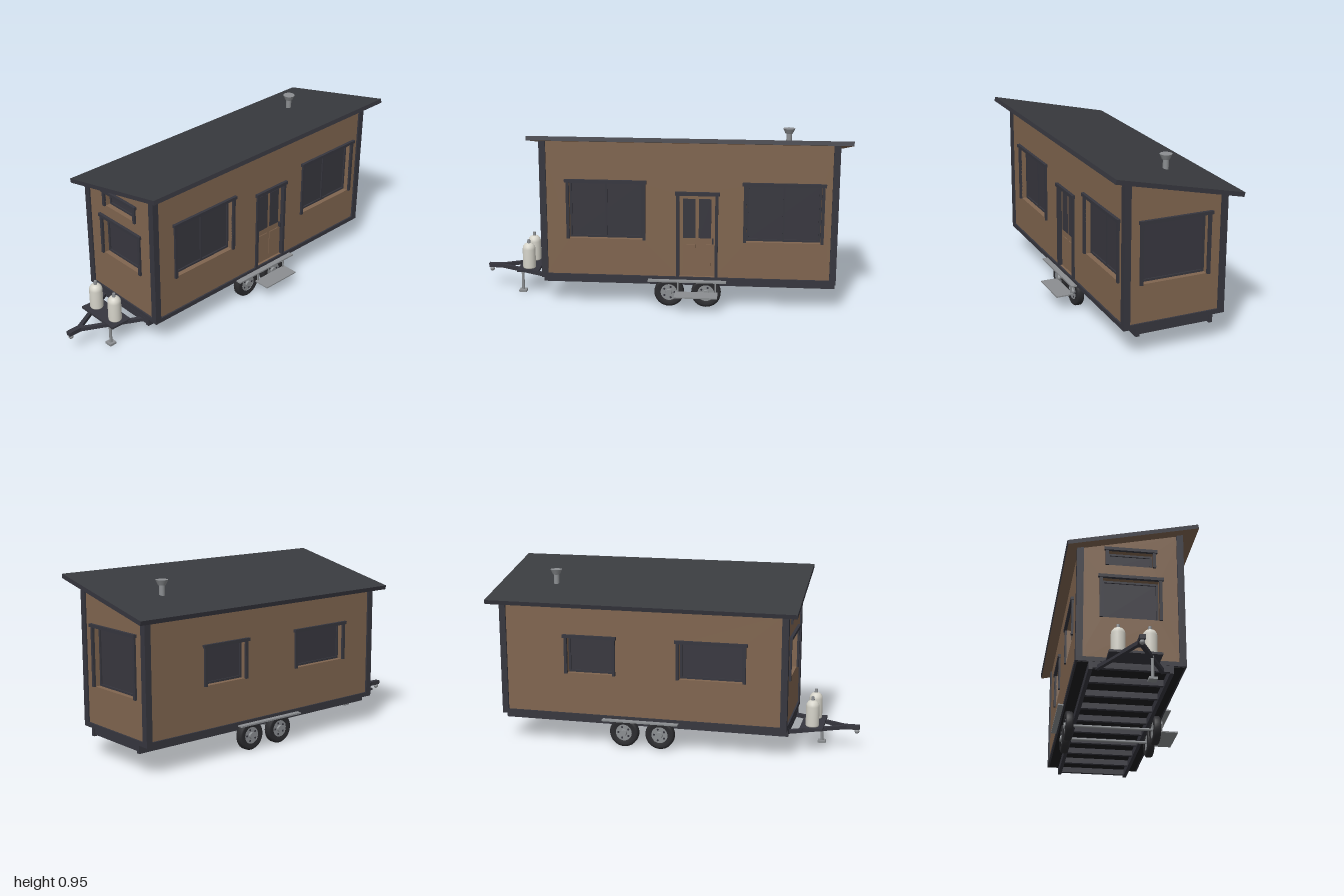
import * as THREE from 'three';

const mat = (name, color, opts = {}) => {
  const m = new THREE.MeshStandardMaterial({ color, ...opts });
  m.name = name;
  return m;
};

export function createModel() {
  const cladding = mat('brown cladding', 0x80654f);
  const trim = mat('dark trim', 0x36363e);
  const roofMat = mat('roof metal', 0x393b3f);
  const glass = mat('dark glass', 0x38373f);
  const rubber = mat('rubber', 0x2b2b2e);
  const steel = mat('galvanised steel', 0x8b8e91);
  const white = mat('tank white', 0xd6d4ca);
  const under = mat('underside black', 0x1d1d20);

  const root = new THREE.Group();
  const add = (parent, name, geo, material, x = 0, y = 0, z = 0) => {
    const m = new THREE.Mesh(geo, material);
    m.name = name;
    m.position.set(x, y, z);
    parent.add(m);
    return m;
  };
  // box given by its limits on each axis
  const box = (parent, name, material, x0, x1, y0, y1, z0, z1) =>
    add(parent, name, new THREE.BoxGeometry(x1 - x0, y1 - y0, z1 - z0), material,
      (x0 + x1) / 2, (y0 + y1) / 2, (z0 + z1) / 2);
  const cyl = (parent, name, material, r0, r1, h, n, x, y, z) =>
    add(parent, name, new THREE.CylinderGeometry(r0, r1, h, n), material, x, y, z);
  // straight square bar between two points
  const bar = (name, material, a, b, w, h) => {
    const p = new THREE.Vector3(...a), q = new THREE.Vector3(...b);
    const m = add(root, name, new THREE.BoxGeometry(w, h, p.distanceTo(q)), material);
    m.position.copy(p).add(q).multiplyScalar(0.5);
    m.lookAt(q);
    return m;
  };

  const X0 = -0.64, X1 = 0.94, ZF = 0.255, ZB = -0.297, BASE = 0.155;
  const T = 0.04; // wall thickness
  const roofUnder = z => 0.924 - (0.33 - z) * 0.2235;

  // Windows: recessed sash and glass, side casings and a wider header
  const IN = 0.016;
  function windowUnit(wall, [u0, u1, y0, y1, panes]) {
    const g = new THREE.Group();
    g.name = 'window';
    wall.add(g);
    box(g, 'casing', trim, u0, u0 + IN, y0, y1 - 0.015, -0.002, 0.011);
    box(g, 'casing', trim, u1 - IN, u1, y0, y1 - 0.015, -0.002, 0.011);
    box(g, 'header', trim, u0 - 0.007, u1 + 0.007, y1 - 0.017, y1, -0.002, 0.016);
    const a = u0 + IN, b = u1 - IN, c = y0 + 0.002, d = y1 - 0.017, s = 0.011;
    box(g, 'glass', glass, a, b, c, d, -T, -T + 0.006);
    box(g, 'sashBottom', trim, a, b, c, c + s, -T, -T + 0.013);
    box(g, 'sashTop', trim, a, b, d - s, d, -T, -T + 0.013);
    box(g, 'sashSide', trim, a, a + s, c, d, -T, -T + 0.013);
    box(g, 'sashSide', trim, b - s, b, c, d, -T, -T + 0.013);
    for (let i = 1; i < panes; i++) {
      const u = a + (b - a) * i / panes;
      box(g, 'mullion', trim, u - 0.005, u + 0.005, c, d, -T, -T + 0.013);
    }
  }

  // Wall in its own plane: outline from ends and top heights, with openings
  function makeWall(name, u0, u1, top0, top1, openings, position, turn, extraHole) {
    const wall = new THREE.Group();
    wall.name = name;
    wall.position.set(...position);
    wall.rotation.y = turn;
    root.add(wall);
    const shape = new THREE.Shape([[u0, BASE], [u1, BASE], [u1, top1], [u0, top0]]
      .map(p => new THREE.Vector2(...p)));
    const hole = (a, b, c, d) => shape.holes.push(new THREE.Path(
      [[a, c], [a, d], [b, d], [b, c]].map(p => new THREE.Vector2(...p))));
    for (const w of openings) {
      hole(w[0] + IN, w[1] - IN, w[2] + 0.002, w[3] - 0.017);
      windowUnit(wall, w);
    }
    if (extraHole) hole(...extraHole);
    const geo = new THREE.ExtrudeGeometry(shape, { depth: T, bevelEnabled: false });
    geo.translate(0, 0, -T);
    add(wall, name + 'Cladding', geo, cladding);
    return wall;
  }

  const inset = 0.009;
  const zf = ZF - inset, zb = ZB + inset, xl = X0 + inset, xr = X1 - inset;
  const yf = roofUnder(zf), yb = roofUnder(zb);
  const front = makeWall('frontWall', xl, xr, yf, yf,
    [[-0.5, -0.075, 0.375, 0.702, 2], [0.445, 0.868, 0.375, 0.702, 2]],
    [0, 0, zf], 0, [0.105, 0.297, 0.178, 0.628]);
  makeWall('backWall', -xr, -xl, yb, yb,
    [[-0.575, -0.29, 0.4, 0.615, 1], [0.045, 0.42, 0.4, 0.615, 1]], [0, 0, zb], Math.PI);
  makeWall('rightWall', -zf, -zb, yf, yb, [[-0.17, 0.21, 0.375, 0.703, 1]],
    [xr, 0, 0], Math.PI / 2);
  makeWall('leftWall', zb, zf, yb, yf,
    [[-0.18, 0.14, 0.4, 0.64, 1], [-0.15, 0.11, 0.7, 0.8, 1]], [xl, 0, 0], -Math.PI / 2);

  // Door with two tall panes and two lower panels
  const door = new THREE.Group();
  door.name = 'door';
  front.add(door);
  box(door, 'doorLeaf', cladding, 0.105, 0.297, 0.178, 0.628, -0.03, -0.012);
  box(door, 'doorCasing', trim, 0.09, 0.106, 0.175, 0.628, -0.012, 0.011);
  box(door, 'doorCasing', trim, 0.296, 0.312, 0.175, 0.628, -0.012, 0.011);
  box(door, 'doorHeader', trim, 0.083, 0.319, 0.627, 0.646, -0.012, 0.016);
  for (const u of [0.125, 0.209]) {
    box(door, 'doorGlass', glass, u, u + 0.066, 0.39, 0.605, -0.014, -0.009);
    box(door, 'doorPanel', cladding, u, u + 0.066, 0.21, 0.355, -0.014, -0.008);
  }
  box(door, 'doorHandle', trim, 0.281, 0.289, 0.36, 0.39, -0.014, 0.004);

  // Corner posts and bottom trim
  const P = 0.035;
  for (const x of [X0, X1 - P]) {
    box(root, 'frontCornerPost', trim, x, x + P, BASE, roofUnder(ZF) + 0.003, ZF - P, ZF);
    box(root, 'backCornerPost', trim, x, x + P, BASE, roofUnder(ZB) + 0.006, ZB, ZB + P);
  }
  box(root, 'bottomTrim', trim, X0, X1, 0.152, 0.176, ZF - 0.02, ZF);
  box(root, 'bottomTrim', trim, X0, X1, 0.152, 0.176, ZB, ZB + 0.02);
  box(root, 'bottomTrim', trim, X0, X0 + 0.02, 0.152, 0.176, ZB, ZF);
  box(root, 'bottomTrim', trim, X1 - 0.02, X1, 0.152, 0.176, ZB, ZF);

  // Sloping roof with a clad soffit
  const roof = add(root, 'roof', new THREE.BoxGeometry(1.69, 0.023, 0.695),
    [trim, trim, roofMat, cladding, trim, trim], 0.155, 0.859, -0.011);
  roof.rotation.x = -0.22;

  // Chimney
  cyl(root, 'chimneyPipe', steel, 0.015, 0.015, 0.08, 16, 0.68, 0.865, -0.088);
  cyl(root, 'chimneyCap', steel, 0.033, 0.02, 0.028, 12, 0.68, 0.917, -0.088);

  // Chassis
  box(root, 'floor', under, X0 + 0.01, X1 - 0.01, 0.15, 0.162, ZB + 0.01, ZF - 0.01);
  for (const z of [0.17, -0.232])
    box(root, 'chassisRail', trim, X0, X1, 0.11, 0.153, z, z + 0.02);
  for (let i = 0; i < 10; i++) {
    const x = X0 + 0.01 + i * 0.1725;
    box(root, 'crossMember', trim, x - 0.01, x + 0.01, 0.118, 0.151, -0.225, 0.185);
  }

  // Wheels, axles and mudguards
  const tyreProfile = [[0.045, -0.018], [0.066, -0.022], [0.075, -0.019], [0.08, -0.012],
    [0.08, 0.012], [0.075, 0.019], [0.066, 0.022], [0.045, 0.018]].map(p => new THREE.Vector2(...p));
  for (const x of [0.05, 0.25]) {
    for (const [z, s] of [[0.217, 1], [-0.259, -1]]) {
      const wheel = new THREE.Group();
      wheel.name = 'wheel';
      wheel.position.set(x, 0.081, z);
      wheel.rotation.x = s * Math.PI / 2;
      root.add(wheel);
      add(wheel, 'tyre', new THREE.LatheGeometry(tyreProfile, 32), rubber);
      cyl(wheel, 'rim', steel, 0.046, 0.046, 0.032, 24, 0, 0, 0);
      cyl(wheel, 'hub', steel, 0.016, 0.019, 0.012, 12, 0, 0.02, 0);
      for (let i = 0; i < 5; i++) {
        const a = i * Math.PI * 0.4;
        cyl(wheel, 'rimSlot', trim, 0.006, 0.006, 0.004, 8,
          0.031 * Math.cos(a), 0.0155, 0.031 * Math.sin(a));
      }
    }
    const axle = cyl(root, 'axle', steel, 0.008, 0.008, 0.5, 12, x, 0.083, -0.021);
    axle.rotation.x = Math.PI / 2;
  }
  box(root, 'mudguard', steel, -0.06, 0.36, 0.153, 0.161, 0.19, 0.285);
  box(root, 'mudguard', steel, -0.06, 0.36, 0.153, 0.161, -0.327, -0.232);

  // Entry step
  box(root, 'stepTread', steel, 0.085, 0.315, 0.087, 0.094, 0.258, 0.351);
  for (const x of [0.097, 0.297])
    box(root, 'stepHanger', steel, x, x + 0.008, 0.09, 0.155, 0.26, 0.267);

  // Drawbar, coupler and jack
  const ZC = -0.025;
  for (const s of [1, -1])
    bar('drawbarArm', trim, [-0.62, 0.124, ZC + s * 0.165], [-0.925, 0.124, ZC + s * 0.006], 0.02, 0.02);
  box(root, 'coupler', trim, -1, -0.905, 0.113, 0.136, ZC - 0.014, ZC + 0.014);
  add(root, 'hitchBall', new THREE.SphereGeometry(0.013, 16, 10), steel, -0.985, 0.102, ZC);
  box(root, 'tankDeck', trim, -0.812, -0.69, 0.128, 0.14, -0.155, 0.105);
  cyl(root, 'jackLeg', steel, 0.008, 0.008, 0.125, 12, -0.79, 0.07, 0.056);
  box(root, 'jackFoot', steel, -0.811, -0.769, 0, 0.012, 0.035, 0.077);

  // Gas tanks
  const tankProfile = [[0, 0], [0.033, 0], [0.036, 0.006], [0.036, 0.11], [0.033, 0.125],
    [0.024, 0.137], [0.012, 0.143], [0, 0.144]].map(p => new THREE.Vector2(...p));
  for (const z of [-0.103, 0.053]) {
    add(root, 'gasTank', new THREE.LatheGeometry(tankProfile, 24), white, -0.752, 0.14, z);
    cyl(root, 'tankValve', steel, 0.008, 0.01, 0.022, 10, -0.752, 0.292, z);
  }
  return root;
}
